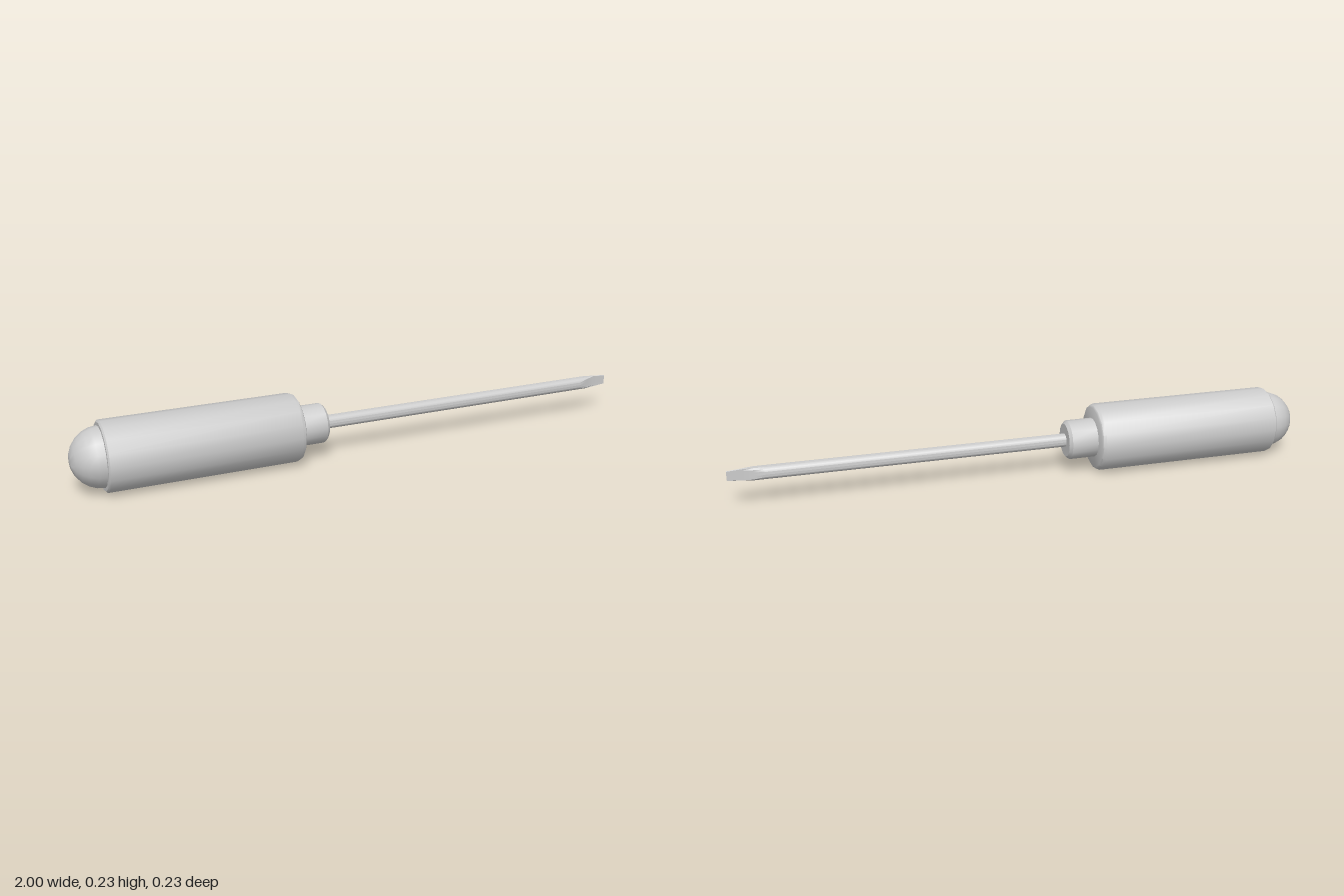
import * as THREE from 'three';
import { toCreasedNormals } from 'three/addons/utils/BufferGeometryUtils.js';

const SIDES = 16;
const AXIS_Y = 0.119;

export function createModel() {
  const group = new THREE.Group();
  const material = new THREE.MeshStandardMaterial({ color: 0xcccccc });

  // Turns a profile of [x, radius] around the long axis; shape() may move vertices
  function turned(name, profile, crease, shape) {
    let geo = new THREE.LatheGeometry(profile.map(([x, r]) => new THREE.Vector2(r, x)), SIDES);
    geo.rotateZ(-Math.PI / 2);
    if (shape) shape(geo.attributes.position);
    geo = toCreasedNormals(geo, crease);
    const mesh = new THREE.Mesh(geo, material);
    mesh.name = name;
    mesh.position.y = AXIS_Y;
    group.add(mesh);
  }

  // Rounded butt of the handle
  const dome = [];
  for (let i = 0; i <= 6; i++) {
    const a = (i / 6) * Math.PI / 2;
    dome.push([-0.9 - 0.1 * Math.cos(a), 0.1 * Math.sin(a)]);
  }
  dome.push([-0.88, 0.1]);
  turned('handleButt', dome, 0.7);

  // Grip with bevelled ends
  turned('handle', [
    [-0.9, 0], [-0.9, 0.112], [-0.895, 0.117],
    [-0.26, 0.117], [-0.25, 0.113], [-0.246, 0.106], [-0.246, 0],
  ], 0.7);

  // Collar between grip and shaft
  turned('collar', [[-0.26, 0.068], [-0.154, 0.068], [-0.144, 0.058], [-0.144, 0]], 0.7);

  // Shaft, flattened in z towards the tip
  turned('shaft', [
    [-0.16, 0.023], [0.88, 0.023], [0.915, 0.023], [0.95, 0.0215], [1, 0.017], [1, 0],
  ], 0.6, (pos) => {
    for (let i = 0; i < pos.count; i++) {
      const x = pos.getX(i);
      const half = x > 0.87 ? THREE.MathUtils.mapLinear(Math.min(x, 0.95), 0.88, 0.95, 0.023, 0.004) : 0.023;
      const limit = x > 0.99 ? 0.002 : half;
      pos.setZ(i, THREE.MathUtils.clamp(pos.getZ(i), -limit, limit));
    }
  });

  return group;
}
